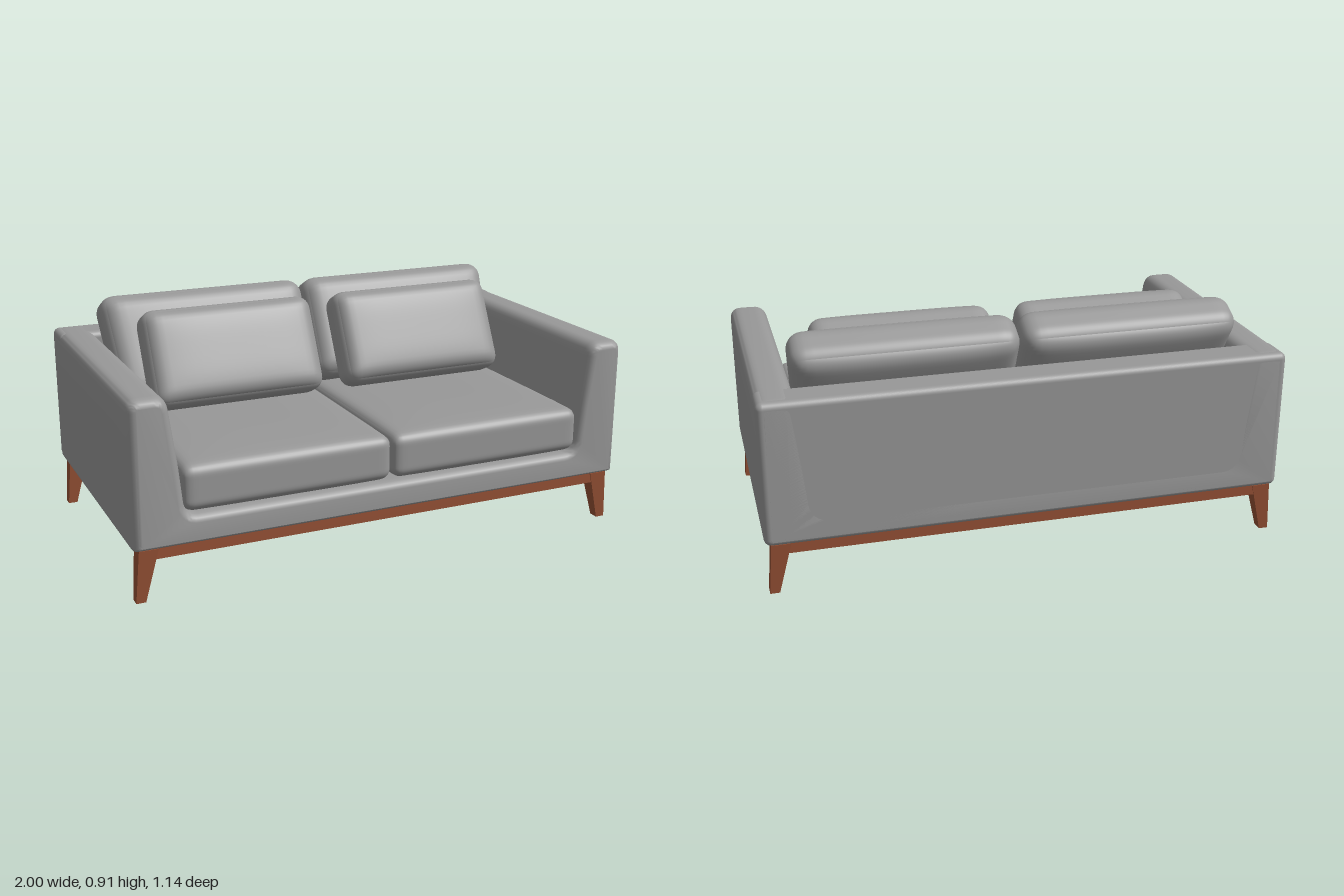
import * as THREE from 'three';
import { mergeVertices, toCreasedNormals } from 'three/addons/utils/BufferGeometryUtils.js';
import { RoundedBoxGeometry } from 'three/addons/geometries/RoundedBoxGeometry.js';

const material = (name, color) => {
  const m = new THREE.MeshStandardMaterial({ color });
  m.name = name;
  return m;
};

// Soft cushion: rounded box, puffed along its thin axis; lean widens one end towards the top
function cushionGeometry(size, radius, thin, puff, lean = 0) {
  const n = 28;
  let geo = new THREE.BoxGeometry(2, 2, 2, n, n, n);
  geo.deleteAttribute('uv');
  geo.deleteAttribute('normal');
  geo = mergeVertices(geo, 1e-5);
  const pos = geo.attributes.position;
  const half = size.map((s) => s / 2);
  const ease = (t) => Math.sin((t * Math.PI) / 2); // more rows near the edges
  for (let i = 0; i < pos.count; i++) {
    const u = [pos.getX(i), pos.getY(i), pos.getZ(i)].map(ease);
    const p = u.map((t, k) => t * half[k]);
    const core = p.map((v, k) => THREE.MathUtils.clamp(v, radius - half[k], half[k] - radius));
    const dir = new THREE.Vector3(...p.map((v, k) => v - core[k])).setLength(radius);
    const out = [core[0] + dir.x, core[1] + dir.y, core[2] + dir.z];
    let swell = puff * u[thin];
    for (let k = 0; k < 3; k++) if (k !== thin) swell *= 1 - u[k] ** 4;
    out[thin] += swell;
    const side = Math.sign(lean) * (out[0] / size[0]) + 0.5;
    out[0] += lean * side * (out[1] / half[1]);
    pos.setXYZ(i, ...out);
  }
  geo.computeVertexNormals();
  return geo;
}

// U-shaped section of base and arms
function shellGeometry() {
  const s = new THREE.Shape();
  s.moveTo(0, 0.2);
  s.lineTo(0.98, 0.2);
  s.quadraticCurveTo(1, 0.2, 1, 0.22);
  s.lineTo(1, 0.71);
  s.quadraticCurveTo(1, 0.755, 0.955, 0.755);
  s.lineTo(0.905, 0.755);
  s.quadraticCurveTo(0.858, 0.755, 0.85, 0.705);
  s.lineTo(0.822, 0.5);
  s.lineTo(0.808, 0.36);
  s.quadraticCurveTo(0.803, 0.315, 0.76, 0.315);
  s.lineTo(0, 0.315);
  const right = s.getPoints(8);
  const left = right.slice(1, -1).reverse().map((p) => new THREE.Vector2(-p.x, p.y));
  const bevel = 0.03;
  const geo = new THREE.ExtrudeGeometry(new THREE.Shape([...right, ...left]), {
    depth: 1.05, bevelEnabled: true, bevelThickness: 0.045, bevelSize: bevel,
    bevelOffset: -bevel, bevelSegments: 6,
  });
  geo.translate(0, 0, -0.525);
  return toCreasedNormals(geo, 0.7);
}

// Tapered leg, splayed outward in x
function legGeometry(sx, sz) {
  const geo = new THREE.BoxGeometry(1, 0.2, 1);
  const pos = geo.attributes.position;
  for (let i = 0; i < pos.count; i++) {
    const top = pos.getY(i) > 0;
    const [x, w, d] = top ? [0.941, 0.072, 0.063] : [0.974, 0.036, 0.04];
    pos.setXYZ(i, sx * x + pos.getX(i) * w, top ? 0.201 : 0, sz * 0.518 + pos.getZ(i) * d);
  }
  geo.computeVertexNormals();
  return geo;
}

export function createModel() {
  const fabric = material('grey fabric', 0x989898);
  const wood = material('brown wood', 0x965135);
  const model = new THREE.Group();
  model.name = 'sofa';
  const frame = new THREE.Group();
  frame.name = 'woodenFrame';
  frame.position.z = -0.005;
  model.add(frame);

  const add = (parent, name, geo, mat, x = 0, y = 0, z = 0, tilt = 0) => {
    const mesh = new THREE.Mesh(geo, mat);
    mesh.name = name;
    mesh.position.set(x, y, z);
    mesh.rotation.x = tilt;
    parent.add(mesh);
  };
  const beam = (name, w, h, d, x, y, z) =>
    add(frame, name, new THREE.BoxGeometry(w, h, d), wood, x, y, z);

  // Upholstered body
  add(model, 'armsAndBase', shellGeometry(), fabric);
  add(model, 'backRest', new RoundedBoxGeometry(1.998, 0.552, 0.15, 5, 0.025), fabric, 0, 0.477, -0.495);

  // Cushions, mirrored left and right
  const tilt = -0.47;
  for (const s of [1, -1]) {
    add(model, 'seatCushion', cushionGeometry([0.812, 0.172, 0.985], 0.04, 1, 0.014), fabric,
      s * 0.408, 0.408, 0.073);
    add(model, 'backCushion', cushionGeometry([0.846, 0.433, 0.178], 0.065, 2, 0.018, s * 0.016), fabric,
      s * 0.425, 0.703, -0.273, tilt);
    add(model, 'throwPillow', cushionGeometry([0.705, 0.387, 0.153], 0.055, 2, 0.02), fabric,
      s * 0.403, 0.702, -0.071, tilt);
  }

  // Wooden frame
  for (const s of [1, -1]) {
    beam('longRail', 1.93, 0.04, 0.04, 0, 0.181, s * 0.525);
    beam('sideRail', 0.04, 0.04, 1.05, s * 0.945, 0.181, 0);
    for (const t of [1, -1]) add(frame, 'leg', legGeometry(s, t), wood);
  }
  beam('middleLongRail', 1.9, 0.04, 0.04, 0, 0.181, 0);
  beam('middleCrossRail', 0.04, 0.04, 1.03, 0, 0.181, 0);
  beam('middleLeg', 0.038, 0.18, 0.038, 0, 0.09, 0);

  return model;
}
